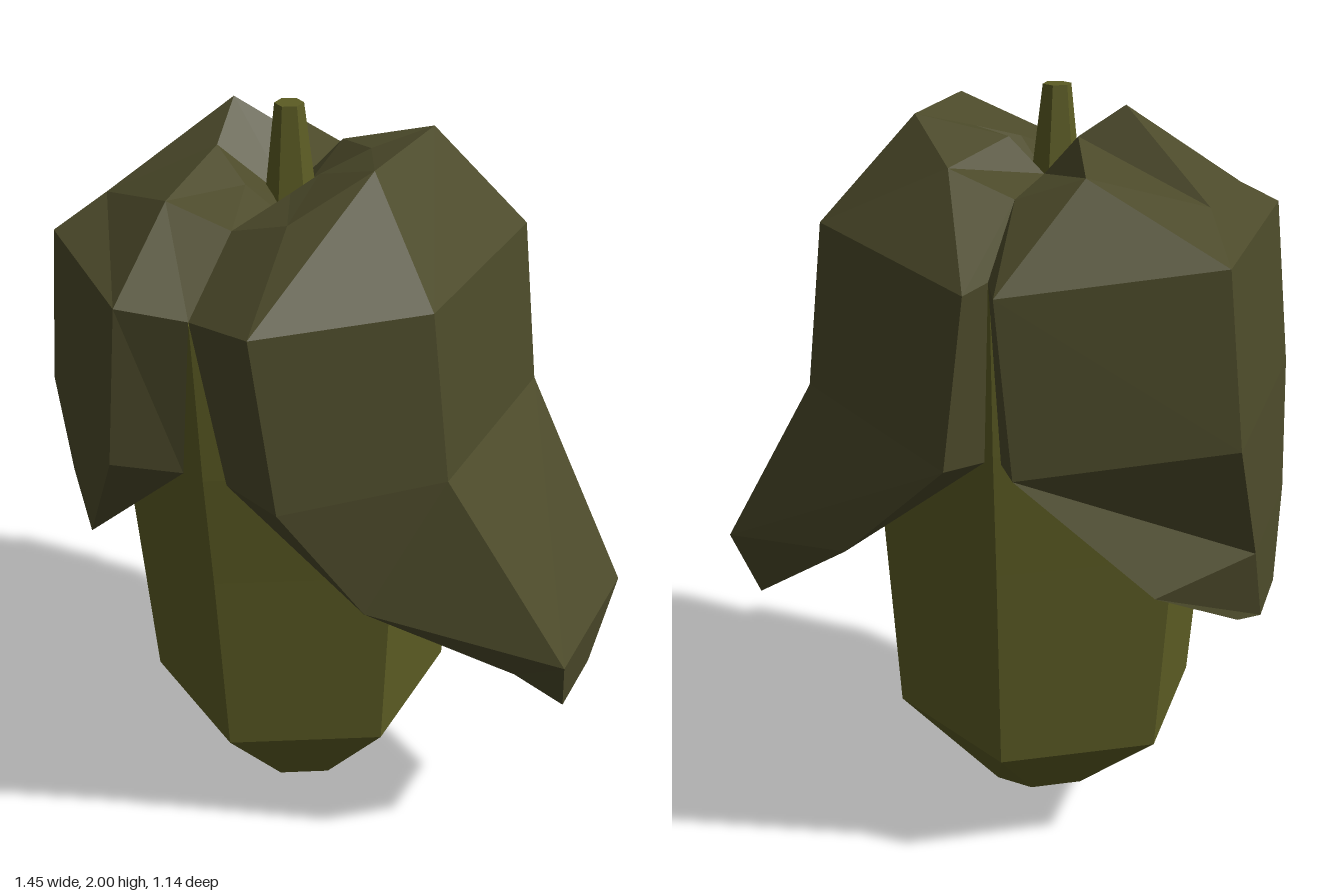
import * as THREE from 'three';

const CX = -0.13; // axis of the nut and stem

function material(color) {
  return new THREE.MeshStandardMaterial({ color, flatShading: true, side: THREE.DoubleSide });
}

// Joins rows of [x, y, z] points with quads; a closed loft wraps each row round.
function loft(rows, closed) {
  const n = rows[0].length, index = [];
  for (let r = 0; r < rows.length - 1; r++) {
    for (let i = 0; i < (closed ? n : n - 1); i++) {
      const j = (i + 1) % n;
      const a = r * n + i, b = r * n + j, c = a + n, d = b + n;
      index.push(a, c, b, b, c, d);
    }
  }
  const g = new THREE.BufferGeometry();
  g.setAttribute('position', new THREE.Float32BufferAttribute(rows.flat(2), 3));
  g.setIndex(index);
  g.computeVertexNormals();
  return g;
}

function addMesh(group, name, geometry, mat) {
  const mesh = new THREE.Mesh(geometry, mat);
  mesh.name = name;
  group.add(mesh);
}

// Six-sided ring with a corner at the front; lift gives a height per corner.
function hexRing(radius, y, lift = [0, 0, 0, 0, 0, 0]) {
  return lift.map((dy, i) => {
    const a = i * Math.PI / 3;
    return [CX + radius * Math.sin(a), y + dy, 0.01 + radius * Math.cos(a)];
  });
}

export function createModel() {
  const group = new THREE.Group();
  const nutMat = material(0x5c5c24);
  const huskMat = material(0x4c4a2a);

  // Nut with a slanted, blunt tip
  addMesh(group, 'nut', loft([
    hexRing(0, 1.66),
    hexRing(0.49, 1.64),
    hexRing(0.47, 1.22),
    hexRing(0.445, 0.9),
    hexRing(0.41, 0.34),
    hexRing(0.14, 0, [0, 0, 0.04, 0.08, 0.08, 0.08]),
    hexRing(0, 0),
  ], true), nutMat);

  // Each husk row runs: front notch, front edge, front corner,
  // back corner, back edge, back notch
  const hub = Array(6).fill([CX, 1.75, 0.01]);
  const notchTop = [CX, 1.79, 0.3], notchTopBack = [CX, 1.79, -0.3];
  const notch = [CX, 1.65, 0.5], notchBack = [CX, 1.65, -0.49];
  const inF = [CX, 1.77, 0.1], inB = [CX, 1.8, -0.07];

  // Flared lobe
  const lF = [-0.07, 1.22, 0.47], lB = [-0.12, 1.22, -0.49];
  addMesh(group, 'leftHuskLobe', loft([
    hub,
    [inF, [-0.07, 1.83, 0.13], [-0.03, 1.86, 0.06], [0.05, 1.9, -0.05], [-0.05, 1.89, -0.1], inB],
    [notchTop, [0.025, 1.84, 0.32], [0.165, 1.94, 0.17], [0.165, 1.94, -0.155], [0.03, 1.85, -0.3], notchTopBack],
    [notch, [0.06, 1.68, 0.57], [0.37, 1.69, 0.29], [0.37, 1.69, -0.27], [-0.1, 1.64, -0.575], notchBack],
    [lF, [0.12, 1.25, 0.57], [0.42, 1.27, 0.29], [0.42, 1.27, -0.27], [-0.05, 1.22, -0.575], lB],
    [lF, [0.27, 0.92, 0.42], [0.72, 0.77, 0.22], [0.72, 0.77, -0.2], [0.27, 0.9, -0.43], lB],
    [lF, [0.58, 0.67, 0.18], [0.69, 0.55, 0.1], [0.69, 0.55, -0.1], [0.58, 0.67, -0.18], lB],
    [lF, [0.2, 1.1, 0.2], [0.2, 1.1, 0.1], [0.2, 1.1, -0.1], [0.2, 1.1, -0.2], lB],
  ], false), huskMat);

  // Hanging lobe
  const rF = [-0.19, 1.22, 0.47], rB = [-0.16, 1.22, -0.49];
  addMesh(group, 'rightHuskLobe', loft([
    hub,
    [inF, [-0.19, 1.83, 0.13], [-0.3, 1.89, 0.07], [-0.32, 1.97, -0.05], [-0.22, 1.9, -0.1], inB],
    [notchTop, [-0.29, 1.84, 0.32], [-0.56, 1.76, 0.17], [-0.55, 1.77, -0.155], [-0.295, 1.85, -0.3], notchTopBack],
    [notch, [-0.28, 1.68, 0.57], [-0.64, 1.69, 0.29], [-0.64, 1.69, -0.36], [-0.17, 1.64, -0.575], notchBack],
    [rF, [-0.33, 1.26, 0.57], [-0.69, 1.27, 0.29], [-0.69, 1.27, -0.365], [-0.215, 1.22, -0.575], rB],
    [rF, [-0.52, 0.92, 0.42], [-0.715, 0.94, 0.22], [-0.715, 0.94, -0.2], [-0.52, 0.9, -0.43], rB],
    [rF, [-0.68, 0.74, 0.18], [-0.725, 0.72, 0.1], [-0.725, 0.72, -0.1], [-0.68, 0.74, -0.18], rB],
    [rF, [-0.46, 1.1, 0.2], [-0.46, 1.1, 0.1], [-0.46, 1.1, -0.1], [-0.46, 1.1, -0.2], rB],
  ], false), huskMat);

  // Stem
  const stem = new THREE.CylinderGeometry(0.035, 0.066, 0.26, 6);
  stem.translate(CX - 0.005, 1.87, 0.01);
  addMesh(group, 'stem', stem, nutMat);

  return group;
}
